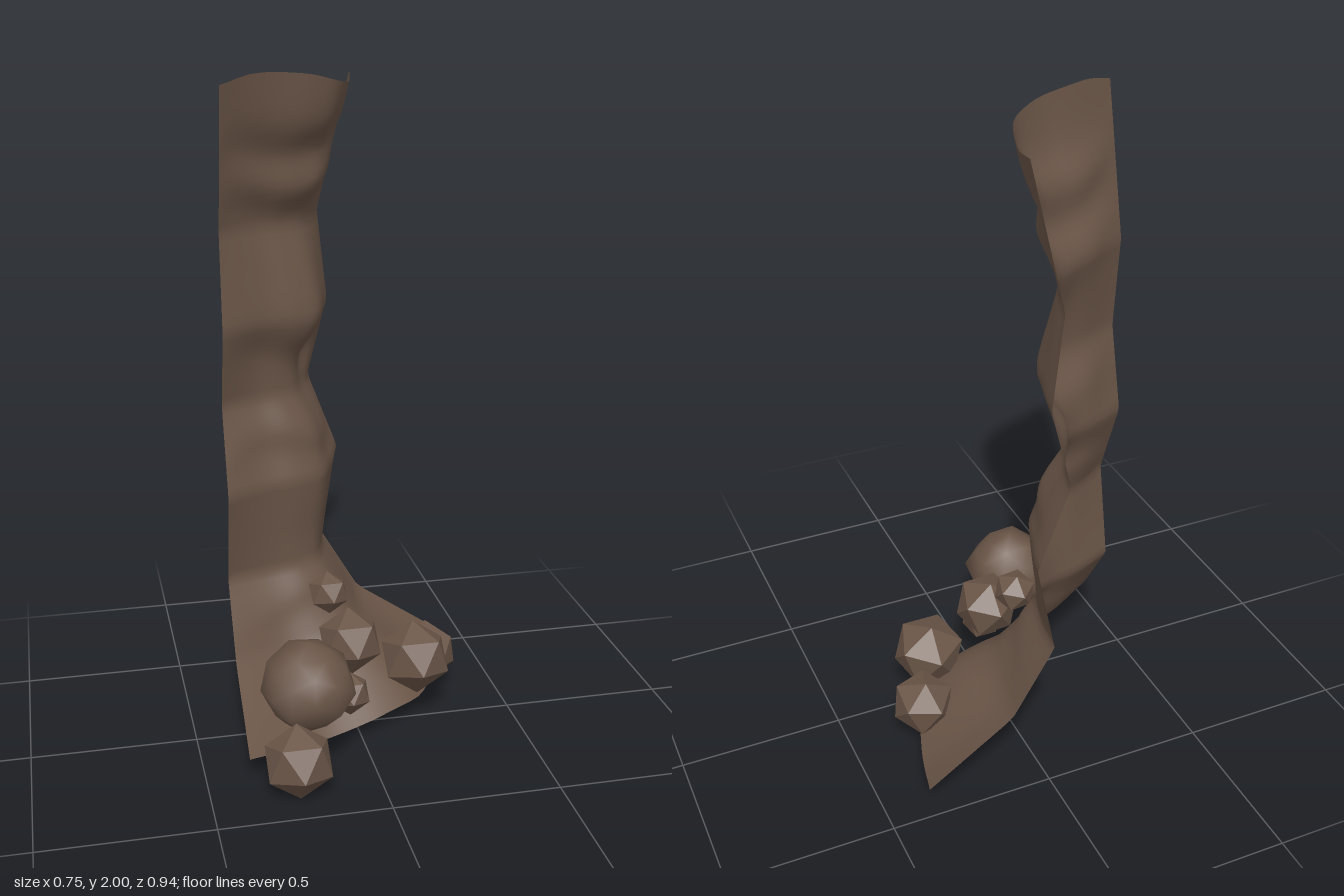
import * as THREE from 'three';
import { mergeVertices } from 'three/addons/utils/BufferGeometryUtils.js';

const X_LEFT = -0.375, Z_BACK = -0.47;

// Piecewise-linear lookup in a list of [key, value] pairs
function lerpTable(table, k) {
  for (let i = 1; i < table.length; i++) {
    const [k0, v0] = table[i - 1], [k1, v1] = table[i];
    if (k <= k1) return v0 + (v1 - v0) * Math.max(0, (k - k0) / (k1 - k0));
  }
  return table[table.length - 1][1];
}

// Smoothly eased lookup for the rounded profiles
function smoothTable(table) {
  const curve = new THREE.CatmullRomCurve3(table.map(([k, v]) => new THREE.Vector3(k, v, 0)));
  const pts = curve.getPoints(80).map(p => [p.x, p.y]);
  return k => lerpTable(pts, k);
}

// Where the sheet meets the back plane (x) and the left plane (z), by height
const rightEdge = [[0.08, 0.375], [0.26, 0.11], [0.48, -0.02], [0.77, 0.04], [1.02, -0.055],
  [1.27, 0.01], [1.55, -0.02], [1.975, 0.085]];
const leftEdge = [[0.08, 0.28], [0.26, 0.03], [0.48, -0.11], [0.77, -0.05], [1.02, -0.145],
  [1.27, -0.08], [1.55, -0.105], [1.975, 0.0]];
// Outward bulge by height, its shape across the sheet, and the uneven rims
const bulge = smoothTable([[0.08, 0.213], [0.17, 0.21], [0.28, 0.175], [0.48, 0.125], [0.77, 0.122],
  [1.02, 0.09], [1.27, 0.105], [1.55, 0.098], [1.975, 0.135]]);
const across = smoothTable([[0, 0], [0.25, 0.38], [0.45, 0.86], [0.57, 1], [0.8, 0.56], [1, 0]]);
const topRim = smoothTable([[0, 0], [0.17, 0.025], [0.4, 0.018], [0.6, -0.01], [0.85, -0.02], [1, 0]]);
const bottomRim = smoothTable([[0, 0], [0.26, -0.04], [0.5, -0.01], [0.7, -0.015], [0.88, -0.038], [1, 0]]);
// Overhanging ledges: each swells outward above a sharp undercut
const ledges = smoothTable([[0.05, 0], [0.33, -0.005], [0.4, 0.012], [0.6, 0], [0.83, -0.01],
  [0.91, 0.014], [1.05, 0], [1.16, -0.01], [1.25, 0.014], [1.45, 0.002], [1.6, -0.016],
  [1.68, 0.016], [1.78, -0.012], [1.86, 0.014], [2.02, 0]]);

// Hollow worn into the right half of the sheet at mid height
const hollow = (s, h) => 0.045 * Math.exp(-(((s - 0.73) / 0.15) ** 2) - ((h - 1.14) / 0.09) ** 2);

// Tall cliff sheet running diagonally between the two planes, flaring at the foot
function cliffGeometry() {
  const geo = new THREE.PlaneGeometry(1, 1, 28, 80);
  const pos = geo.attributes.position;
  for (let i = 0; i < pos.count; i++) {
    const s = pos.getX(i) + 0.5, v = pos.getY(i) + 0.5;
    const h = 0.08 + v * 1.895;
    const zl = lerpTable(leftEdge, h), xr = lerpTable(rightEdge, h);
    const fold = Math.sin(Math.PI * s) * (
      ledges(h + 0.025 * Math.sin(s * 7 + h * 3)) - hollow(s, h) +
      0.005 * Math.sin(h * 9) * Math.sin(s * 10 + h * 4));
    const out = Math.max(0, bulge(h) * across(s) + fold) * Math.SQRT1_2;
    pos.setXYZ(i,
      X_LEFT + (xr - X_LEFT) * s + out,
      h + topRim(s) * Math.pow(v, 8) + bottomRim(s) * Math.pow(1 - v, 8),
      zl + (Z_BACK - zl) * s + out);
  }
  geo.computeVertexNormals();
  return geo;
}

// Rounded, lumpy boulder with a coarse outline
function boulderGeometry(r) {
  let geo = new THREE.IcosahedronGeometry(1, 1);
  geo.deleteAttribute('normal');
  geo.deleteAttribute('uv');
  geo = mergeVertices(geo);
  const pos = geo.attributes.position, p = new THREE.Vector3();
  for (let i = 0; i < pos.count; i++) {
    p.fromBufferAttribute(pos, i);
    const lump = 1 + 0.06 * Math.sin(p.x * 5 + 1) * Math.cos(p.z * 4.5) + 0.05 * Math.sin(p.y * 5 + p.z * 4);
    p.multiplyScalar(r * lump);
    pos.setXYZ(i, p.x, p.y, p.z);
  }
  geo.computeVertexNormals();
  return geo;
}

// Faceted stone with one corner turned up and one to the front
function stoneGeometry(r, turn) {
  return new THREE.IcosahedronGeometry(r, 0)
    .rotateZ(Math.atan(2 / (1 + Math.sqrt(5))))
    .rotateY(-Math.PI / 2 + turn)
    .rotateX(-0.3);
}

export function createModel() {
  const group = new THREE.Group();
  const rock = new THREE.MeshStandardMaterial({ color: 0x6b5648, side: THREE.DoubleSide });
  rock.name = 'brownRock';

  const add = (name, geo, x = 0, y = 0, z = 0) => {
    const mesh = new THREE.Mesh(geo, rock);
    mesh.name = name;
    mesh.position.set(x, y, z);
    group.add(mesh);
  };

  add('cliffSheet', cliffGeometry());
  add('roundBoulder', boulderGeometry(0.137), -0.187, 0.262, 0.21);

  // Stones at the foot: x, y, z, radius, turn
  [
    [-0.246, 0.108, 0.364, 0.108, 0],
    [-0.065, 0.415, -0.096, 0.066, 0.1],
    [-0.02, 0.297, 0.014, 0.103, 0.05],
    [-0.042, 0.168, 0.106, 0.067, 0],
    [0.195, 0.205, -0.015, 0.114, 0],
    [0.277, 0.142, -0.172, 0.098, 0.3],
  ].forEach(([x, y, z, r, turn], i) => add('stone' + (i + 1), stoneGeometry(r, turn), x, y, z));

  return group;
}
